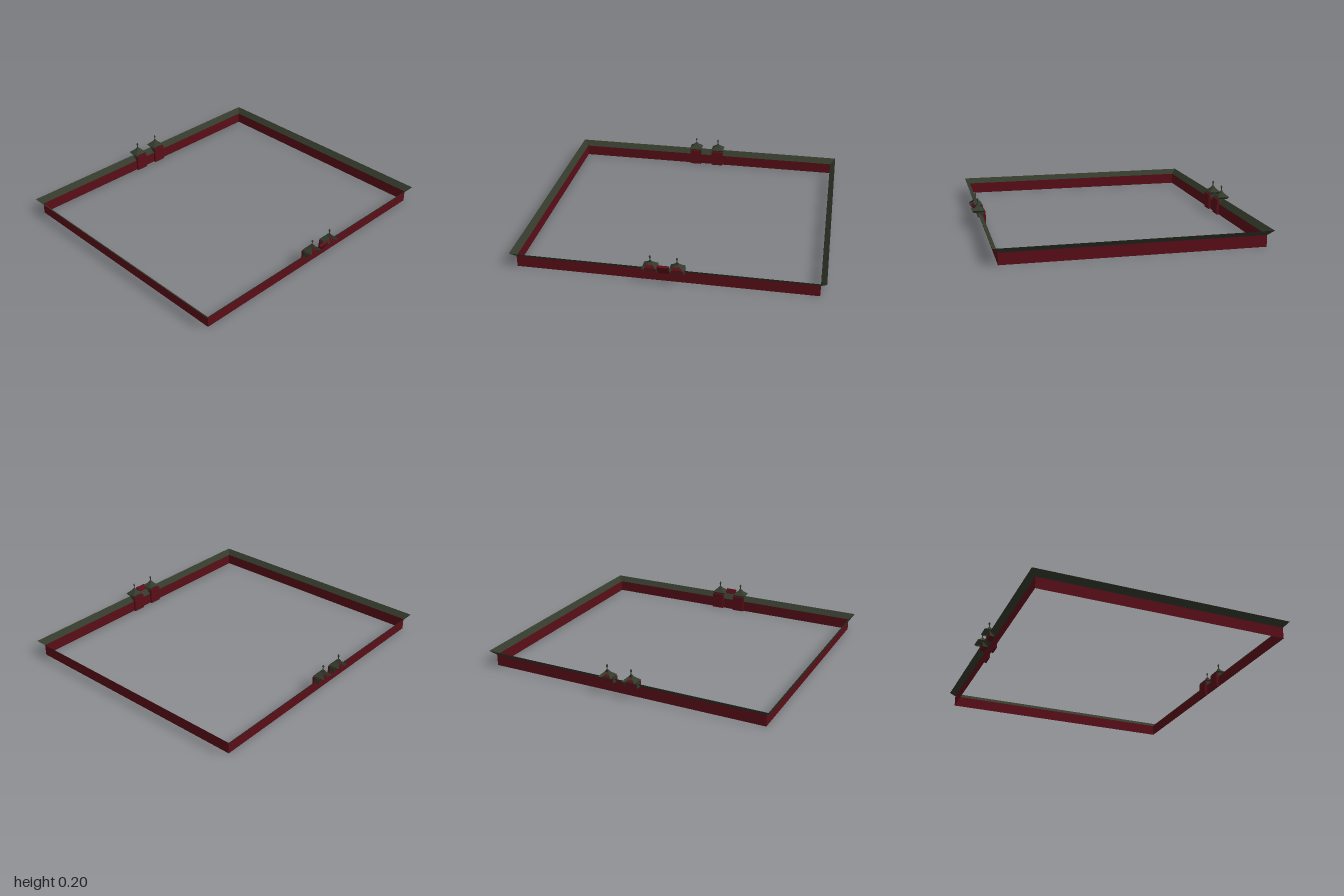
import * as THREE from 'three';

const make = (color) => new THREE.MeshStandardMaterial({ color, side: THREE.DoubleSide, flatShading: true });
const red = make(0x5a0e18);
const green = make(0x333a2b);

function mesh(name, geometry, material, x = 0, y = 0, z = 0) {
  const m = new THREE.Mesh(geometry, material);
  m.name = name;
  m.position.set(x, y, z);
  return m;
}

// Sheet around a rectangle through rings of [half x, half z, y]; sides 0..3 = +z, +x, -z, -x
function sheet(rings, sides = [0, 1, 2, 3]) {
  const corners = [[-1, 1], [1, 1], [1, -1], [-1, -1]];
  const pos = [];
  const at = ([hx, hz, y], c) => [corners[c % 4][0] * hx, y, corners[c % 4][1] * hz];
  for (let i = 0; i < rings.length - 1; i++) {
    for (const s of sides) {
      const a = at(rings[i], s), b = at(rings[i], s + 1);
      const c = at(rings[i + 1], s + 1), d = at(rings[i + 1], s);
      pos.push(...a, ...b, ...c, ...a, ...c, ...d);
    }
  }
  const g = new THREE.BufferGeometry();
  g.setAttribute('position', new THREE.Float32BufferAttribute(pos, 3));
  g.computeVertexNormals();
  return g;
}

// Gate tower, outer side towards +x
function tower() {
  const g = new THREE.Group();
  g.name = 'gateTower';
  g.add(mesh('towerBody', new THREE.BoxGeometry(0.016, 0.11, 0.085), red, -0.04, 0.055, 0));
  g.add(mesh('towerHead', new THREE.BoxGeometry(0.052, 0.028, 0.085), red, -0.022, 0.092, 0));
  for (const s of [-1, 1]) {
    g.add(mesh('towerCheek', new THREE.BoxGeometry(0.04, 0.034, 0.003), green, -0.013, 0.094, s * 0.043));
  }
  // curved tent roof, open on the outer side
  const tent = [[0.042, 0.046, 0.122], [0.026, 0.028, 0.136], [0.013, 0.014, 0.148], [0.003, 0.003, 0.165]];
  g.add(mesh('towerRoof', sheet(tent, [0, 2, 3]), green));
  g.add(mesh('towerEave', sheet([[0.03, 0.036, 0.108], [0.042, 0.046, 0.122]]), green));
  const profile = [[0.003, 0.155], [0.003, 0.18], [0.007, 0.186], [0.006, 0.192], [0, 0.202]];
  g.add(mesh('finial', new THREE.LatheGeometry(profile.map((p) => new THREE.Vector2(...p)), 8), green));
  return g;
}

export function createModel() {
  const model = new THREE.Group();
  model.name = 'walledEnclosure';

  // thin perimeter wall and its outward-flaring coping
  model.add(mesh('perimeterWall', sheet([[0.835, 0.965, 0], [0.835, 0.965, 0.076]]), red));
  model.add(mesh('wallRoof', sheet([[0.835, 0.965, 0.076], [0.87, 1, 0.111]]), green));

  // a pair of towers at each side gate
  for (const side of [1, -1]) {
    const gate = new THREE.Group();
    gate.name = side > 0 ? 'leftGate' : 'rightGate';
    for (const z of [-0.085, 0.085]) {
      const t = tower();
      t.position.set(0.867, 0, z);
      gate.add(t);
    }
    if (side < 0) gate.rotation.y = Math.PI;
    model.add(gate);
  }

  // tilted plaque over the left gate
  const plaque = mesh('gatePlaque', new THREE.BoxGeometry(0.016, 0.07, 0.075), red, 0.878, 0.11, 0);
  plaque.rotation.z = -0.5;
  model.add(plaque);
  return model;
}
